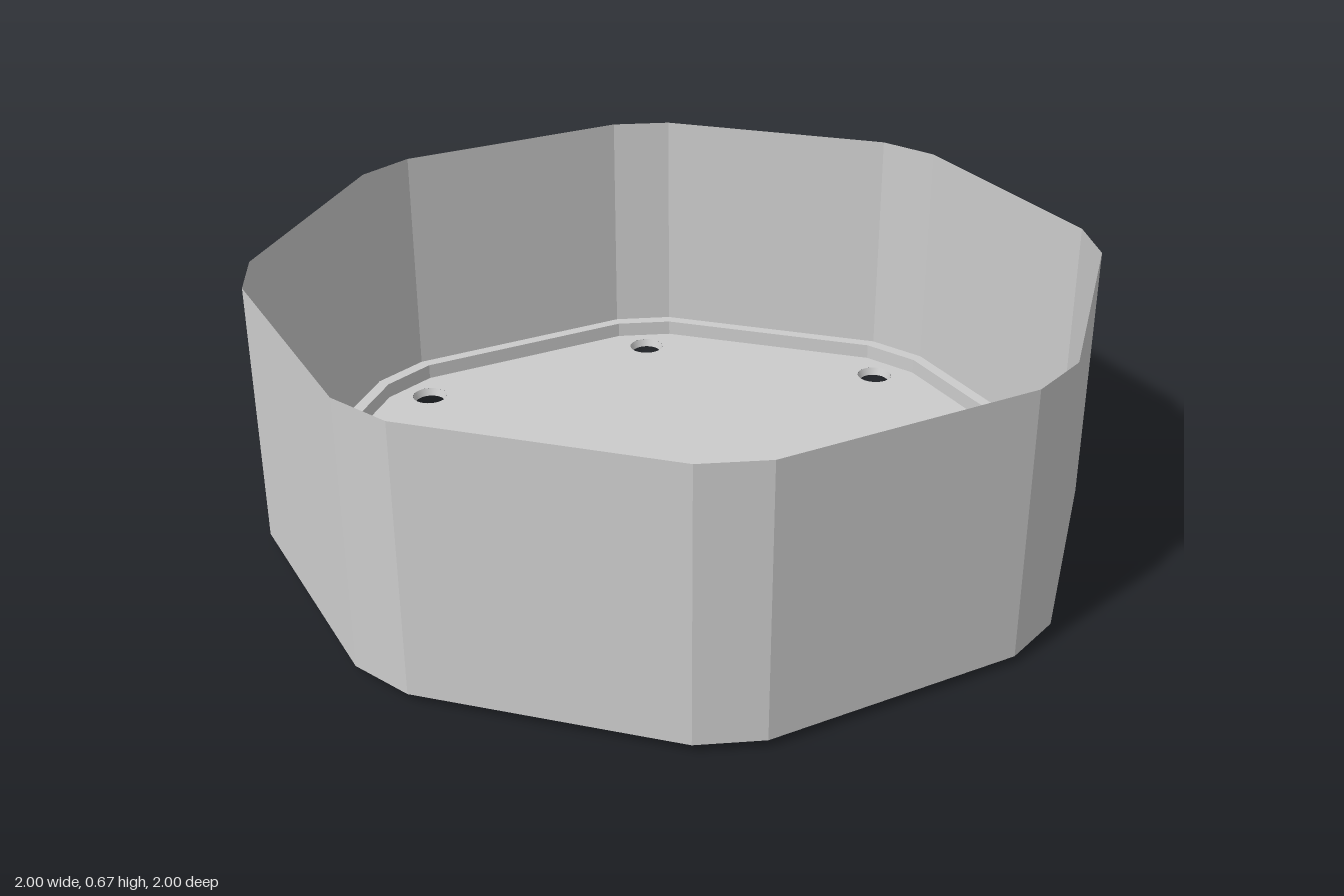
import * as THREE from 'three';

const TOP = 0.665, BASE = 0.02, LEDGE = 0.06, INSET = 0.967;

// Octagon with cut corners, mirrored from one corner pair, running from +x towards +z
const outline = [];
for (let q = 0; q < 4; q++) {
  const c = [1, 0, -1, 0][q], s = [0, 1, 0, -1][q];
  for (const [x, z] of [[1, -0.08], [1, 0.08], [0.76, 0.65], [0.65, 0.76]]) {
    outline.push([c * x - s * z, s * x + c * z]);
  }
}

// Flat-faced band joining two scaled copies of the outline
function band(scaleA, yA, scaleB, yB) {
  const pos = [];
  outline.forEach(([x, z], i) => {
    const [u, w] = outline[(i + 1) % outline.length];
    const a = [x * scaleA, yA, z * scaleA], b = [x * scaleB, yB, z * scaleB];
    const c = [u * scaleB, yB, w * scaleB], d = [u * scaleA, yA, w * scaleA];
    pos.push(...a, ...b, ...c, ...a, ...c, ...d);
  });
  const geo = new THREE.BufferGeometry();
  geo.setAttribute('position', new THREE.Float32BufferAttribute(pos, 3));
  geo.computeVertexNormals();
  return geo;
}

export function createModel() {
  const group = new THREE.Group();
  const grey = new THREE.MeshStandardMaterial({ color: 0xcccccc, side: THREE.DoubleSide });
  grey.name = 'light grey';

  const add = (name, geo, parent = group) => {
    const mesh = new THREE.Mesh(geo, grey);
    mesh.name = name;
    parent.add(mesh);
    return mesh;
  };

  // Thin outer wall, ledge inside it and step down to the floor
  add('outerWall', band(1, BASE, 1, TOP));
  add('ledge', band(1, LEDGE, INSET, LEDGE));
  add('floorStep', band(INSET, BASE, INSET, LEDGE));

  // Floor sheet with eight round holes
  const shape = new THREE.Shape(outline.map(([x, z]) => new THREE.Vector2(x * INSET, -z * INSET)));
  const rims = new THREE.Group();
  rims.name = 'holeRims';
  group.add(rims);
  for (let i = 0; i < 8; i++) {
    const a = i * Math.PI / 4, x = 0.887 * Math.cos(a), z = 0.887 * Math.sin(a);
    const hole = new THREE.Path();
    hole.absarc(x, -z, 0.047, 0, Math.PI * 2, true);
    shape.holes.push(hole);
    // Tapered open rim below each hole
    const rim = add('holeRim', new THREE.CylinderGeometry(0.047, 0.04, BASE, 24, 1, true), rims);
    rim.position.set(x, BASE / 2, z);
  }
  const floor = new THREE.ShapeGeometry(shape, 24);
  floor.rotateX(-Math.PI / 2).translate(0, BASE, 0);
  add('floor', floor);

  return group;
}
